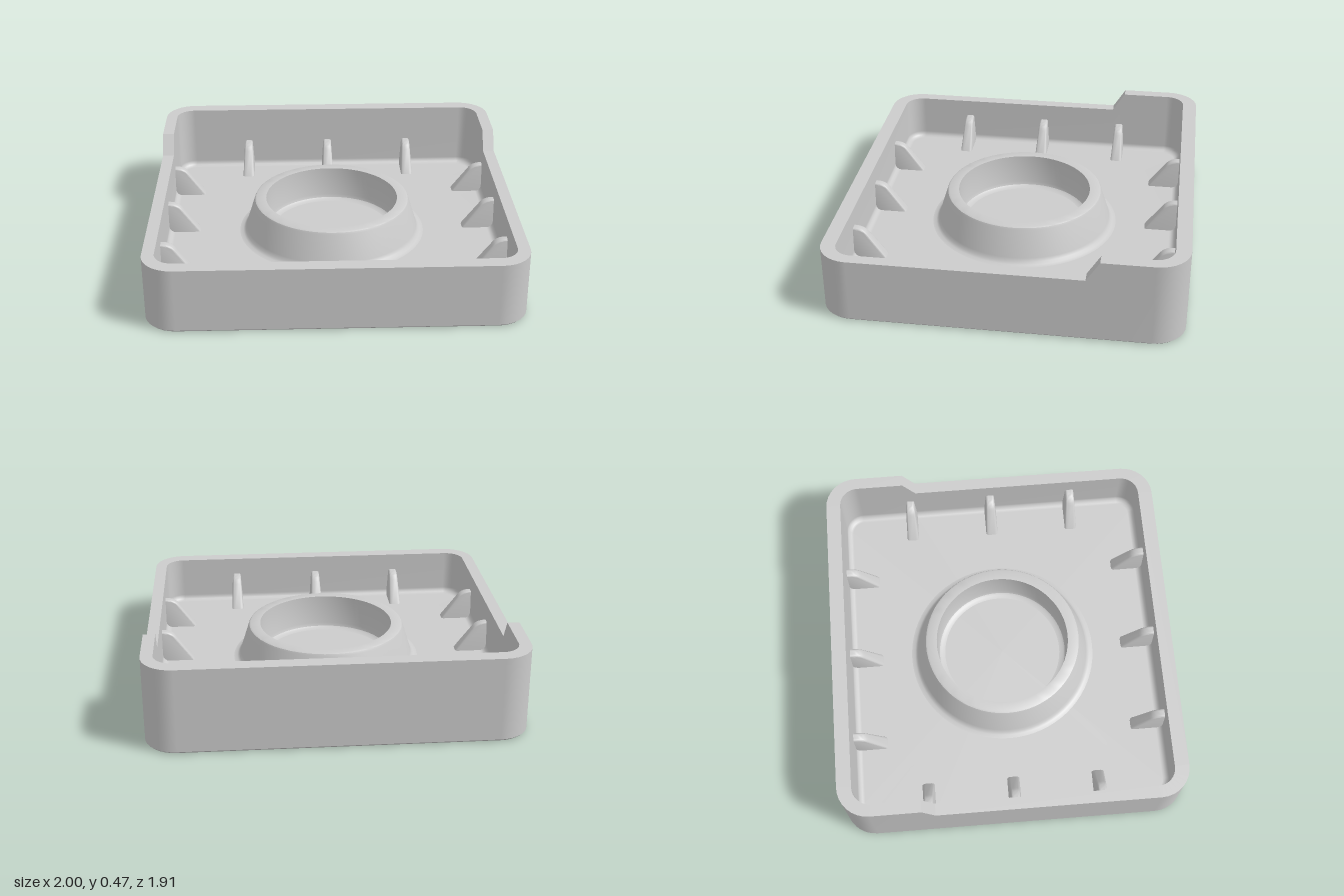
import * as THREE from 'three';
import { mergeGeometries, toCreasedNormals } from 'three/addons/utils/BufferGeometryUtils.js';

const FLOOR = 0.09, LOW = 0.36, HIGH = 0.47;
const INNER_X = 0.935, INNER_Z = 0.875;
const material = new THREE.MeshStandardMaterial({ color: 0xcccccc });
const thinMaterial = new THREE.MeshStandardMaterial({ color: 0xcccccc, side: THREE.DoubleSide });

// Rim height: raised at the back, with a short slope down to the front
const rim = (z) => THREE.MathUtils.mapLinear(THREE.MathUtils.clamp(z, -0.51, -0.44), -0.51, -0.44, HIGH, LOW);

// Rounded rectangle seen from above, with extra points where the rim steps
function loop(hx, hz, r, height) {
  const pts = [];
  const add = (x, z) => pts.push(new THREE.Vector3(x, typeof height === 'function' ? height(z) : height, z));
  const corners = [[1, -1], [-1, -1], [-1, 1], [1, 1]];
  corners.forEach(([sx, sz], c) => {
    if (c === 0) { add(hx, -0.44); add(hx, -0.51); }
    for (let i = 0; i <= 8; i++) {
      const t = (c + i / 8) * Math.PI / 2;
      add(sx * (hx - r) + r * Math.cos(t), sz * (hz - r) - r * Math.sin(t));
    }
    if (c === 1) { add(-hx, -0.51); add(-hx, -0.44); }
  });
  return pts;
}

// Surface through successive loops, smooth inside one skin
function skin(loops, flat = false) {
  const n = loops[0].length, pos = [], index = [];
  loops.forEach((l) => l.forEach((p) => pos.push(p.x, p.y, p.z)));
  for (let k = 0; k < loops.length - 1; k++) {
    for (let i = 0; i < n; i++) {
      const a = k * n + i, b = k * n + (i + 1) % n;
      index.push(a, b, b + n, a, b + n, a + n);
    }
  }
  let g = new THREE.BufferGeometry();
  g.setAttribute('position', new THREE.Float32BufferAttribute(pos, 3));
  g.setIndex(index);
  if (flat) g = g.toNonIndexed();
  g.computeVertexNormals();
  return flat ? g : g.toNonIndexed();
}

function trayGeometry() {
  const centre = (y) => loop(1, 0.955, 0.17, y).map((p) => new THREE.Vector3(0, p.y, 0));
  const foot = loop(0.99, 0.945, 0.16, 0);
  const ankle = loop(1, 0.955, 0.17, 0.01);
  const outerTop = loop(1, 0.955, 0.17, rim);
  const innerTop = loop(INNER_X, INNER_Z, 0.1, rim);
  // Inner wall with a small fillet into the floor
  const inside = [innerTop];
  for (let i = 0; i <= 4; i++) {
    const t = i / 4 * Math.PI / 2, f = 0.035, d = f * (1 - Math.cos(t));
    inside.push(loop(INNER_X - d, INNER_Z - d, 0.1 - d, FLOOR + f * (1 - Math.sin(t))));
  }
  inside.push(centre(FLOOR));
  return mergeGeometries([
    skin([centre(0), foot], true),
    skin([foot, ankle], true),
    skin([ankle, outerTop]),
    skin([outerTop, innerTop], true),
    skin(inside),
  ]);
}

// Central raised collar: sloping outside, upright bore
function collarGeometry() {
  const profile = [
    [0.53, FLOOR], [0.51, 0.094], [0.497, 0.105], [0.489, 0.125], [0.442, 0.275], [0.437, 0.285], [0.428, 0.29],
    [0.375, 0.29], [0.372, 0.12], [0.366, 0.102], [0.355, 0.094], [0.335, FLOOR],
  ].map(([r, y]) => new THREE.Vector2(r, y));
  return toCreasedNormals(new THREE.LatheGeometry(profile, 72), 0.6);
}

// Buttress fin: grows along +x from the wall at x = 0, thicker towards the floor
function ribGeometry() {
  const s = new THREE.Shape();
  s.moveTo(-0.02, FLOOR - 0.03);
  s.lineTo(0.185, FLOOR - 0.03);
  s.lineTo(0.165, FLOOR + 0.005);
  s.lineTo(0.075, 0.215);
  s.quadraticCurveTo(0.055, 0.25, 0.01, 0.252);
  s.lineTo(-0.02, 0.252);
  const g = new THREE.ExtrudeGeometry(s, {
    depth: 0.02, curveSegments: 6, bevelThickness: 0.014, bevelSize: 0.01, bevelSegments: 4,
  });
  g.translate(0, 0, -0.01);
  const p = g.attributes.position;
  for (let i = 0; i < p.count; i++) {
    p.setZ(i, p.getZ(i) * THREE.MathUtils.mapLinear(p.getY(i), FLOOR, 0.26, 1.45, 1));
  }
  return toCreasedNormals(g, 0.7);
}

export function createModel() {
  const model = new THREE.Group();
  model.name = 'tray';
  const add = (name, geometry, mat = material) => {
    const mesh = new THREE.Mesh(geometry, mat);
    mesh.name = name;
    model.add(mesh);
    return mesh;
  };

  add('trayBody', trayGeometry());
  add('collar', collarGeometry(), thinMaterial);

  // Three ribs on each wall
  const rib = ribGeometry();
  const place = (name, x, z, turn) => {
    const mesh = add(name, rib);
    mesh.position.set(x, 0, z);
    mesh.rotation.y = turn;
  };
  for (const k of [-1, 0, 1]) {
    place('leftRib', INNER_X, 0.48 * k, Math.PI);
    place('rightRib', -INNER_X, 0.48 * k, 0);
    place('frontRib', 0.5 * k, INNER_Z, Math.PI / 2);
    place('backRib', 0.5 * k, -INNER_Z, -Math.PI / 2);
  }
  return model;
}
